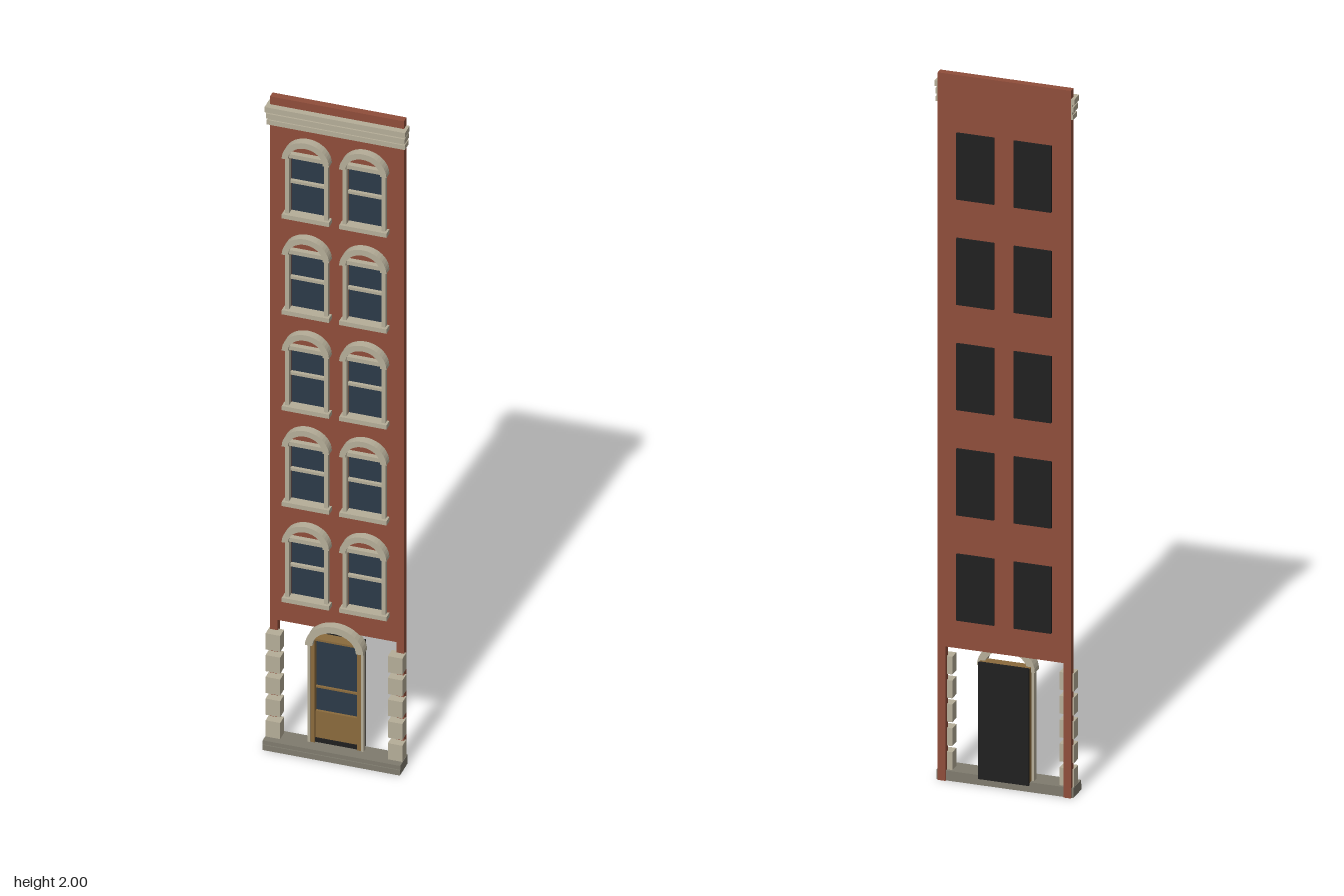
import * as THREE from 'three';

const mat = (name, color) => Object.assign(new THREE.MeshStandardMaterial({ color }), { name });

export function createModel() {
  const brick = mat('brick', 0x8f4d3a);
  const stone = mat('stone', 0xb5ad98);
  const base = mat('baseStone', 0x7f7b6e);
  const glass = mat('glass', 0x2b3a48);
  const dark = mat('backing', 0x1e1e1e);
  const wood = mat('doorWood', 0x8a6a3c);

  const root = new THREE.Group();
  root.name = 'townhouseFacade';

  // Box given by its limits on each axis
  function box(parent, name, m, x0, x1, y0, y1, z0, z1) {
    const mesh = new THREE.Mesh(new THREE.BoxGeometry(x1 - x0, y1 - y0, z1 - z0), m);
    mesh.position.set((x0 + x1) / 2, (y0 + y1) / 2, (z0 + z1) / 2);
    mesh.name = name;
    parent.add(mesh);
    return mesh;
  }

  // Half-round hood with a rectangular section
  function hood(parent, name, r, height, band, y, z0, z1) {
    const s = new THREE.Shape();
    s.moveTo(r, y);
    s.absellipse(0, y, r, height, 0, Math.PI, false);
    s.lineTo(-r + band, y);
    s.absellipse(0, y, r - band, height - band, Math.PI, 0, true);
    s.closePath();
    const g = new THREE.ExtrudeGeometry(s, { depth: z1 - z0, bevelEnabled: false, curveSegments: 10 });
    const mesh = new THREE.Mesh(g, m0(stone));
    mesh.position.z = z0;
    mesh.name = name;
    parent.add(mesh);
  }
  const m0 = (m) => m;

  const rows = [0, 1, 2, 3, 4].map((i) => 0.46 + i * 0.2975);
  const columns = [-0.079, 0.079];
  const winH = 0.186, winW = 0.048;

  // Brick wall: posts beside the open shopfront, holes for the windows
  const wall = new THREE.Shape();
  [[-0.184, 0.0], [-0.163, 0.0], [-0.163, 0.38], [0.163, 0.38], [0.163, 0.0], [0.184, 0.0], [0.184, 2], [-0.184, 2]]
    .forEach(([x, y], i) => (i ? wall.lineTo(x, y) : wall.moveTo(x, y)));
  for (const y of rows) for (const x of columns) {
    const h = new THREE.Path();
    h.moveTo(x - winW, y);
    h.lineTo(x - winW, y + winH);
    h.lineTo(x + winW, y + winH);
    h.lineTo(x + winW, y);
    h.closePath();
    wall.holes.push(h);
  }
  const wallMesh = new THREE.Mesh(new THREE.ExtrudeGeometry(wall, { depth: 0.02, bevelEnabled: false }), brick);
  wallMesh.position.z = -0.03;
  wallMesh.name = 'brickWall';
  root.add(wallMesh);

  // Windows
  for (const y of rows) for (const x of columns) {
    const w = new THREE.Group();
    w.name = 'window';
    w.position.set(x, y, 0);
    const top = winH, mid = winH * 0.54;
    box(w, 'windowBacking', dark, -0.052, 0.052, 0, top + 0.002, -0.036, -0.029);
    box(w, 'windowGlass', glass, -winW, winW, 0, top, -0.024, -0.016);
    box(w, 'meetingRail', stone, -winW, winW, mid - 0.004, mid + 0.004, -0.018, -0.006);
    for (const s of [-1, 1]) {
      const a = s * winW, b = s * 0.059;
      box(w, 'windowJamb', stone, Math.min(a, b), Math.max(a, b), 0, top, -0.016, 0.005);
    }
    box(w, 'windowLintel', stone, -0.059, 0.059, top - 0.006, top + 0.006, -0.016, 0.005);
    box(w, 'windowSill', stone, -0.065, 0.065, -0.006, 0.007, -0.016, 0.013);
    hood(w, 'windowHood', 0.065, 0.06, 0.017, top - 0.006, -0.011, 0.014);
    root.add(w);
  }

  // Cornice mouldings
  box(root, 'corniceBed', stone, -0.187, 0.187, 1.918, 1.976, -0.0295, -0.004);
  [[1.918, 1.932, 0.19, 0.0], [1.939, 1.954, 0.191, 0.004], [1.96, 1.976, 0.193, 0.008]]
    .forEach(([y0, y1, x, z]) => box(root, 'corniceMoulding', stone, -x, x, y0, y1, -0.0295, z));

  // Base slab
  box(root, 'baseSlab', base, -0.189, 0.189, 0, 0.016, -0.026, 0.037);
  box(root, 'baseStep', base, -0.189, 0.189, 0.016, 0.028, -0.026, 0.034);

  // Corner stones
  for (const s of [-1, 1]) for (let i = 0; i < 5; i++) {
    const y = 0.028 + i * 0.0675;
    box(root, 'cornerStone', stone, s > 0 ? 0.148 : -0.188, s > 0 ? 0.188 : -0.148, y, y + 0.05, -0.018, 0.014);
  }

  // Door
  const door = new THREE.Group();
  door.name = 'door';
  box(door, 'doorBacking', dark, -0.07, 0.07, 0.022, 0.352, -0.038, -0.031);
  for (const s of [-1, 1]) {
    box(door, 'doorStile', wood, s > 0 ? 0.058 : -0.07, s > 0 ? 0.07 : -0.058, 0.028, 0.35, -0.031, 0.0);
    box(door, 'doorJamb', stone, s > 0 ? 0.07 : -0.077, s > 0 ? 0.077 : -0.07, 0.028, 0.34, -0.016, 0.002);
  }
  box(door, 'doorTopRail', wood, -0.058, 0.058, 0.344, 0.35, -0.031, 0.0);
  box(door, 'doorPanel', wood, -0.058, 0.058, 0.04, 0.122, -0.031, -0.008);
  box(door, 'doorThreshold', dark, -0.058, 0.058, 0.028, 0.04, -0.031, -0.004);
  box(door, 'doorGlass', glass, -0.058, 0.058, 0.122, 0.344, -0.031, -0.016);
  box(door, 'doorGlazingBar', wood, -0.058, 0.058, 0.193, 0.198, -0.018, -0.01);
  hood(door, 'doorHood', 0.08, 0.07, 0.02, 0.335, -0.018, 0.014);
  root.add(door);

  return root;
}
